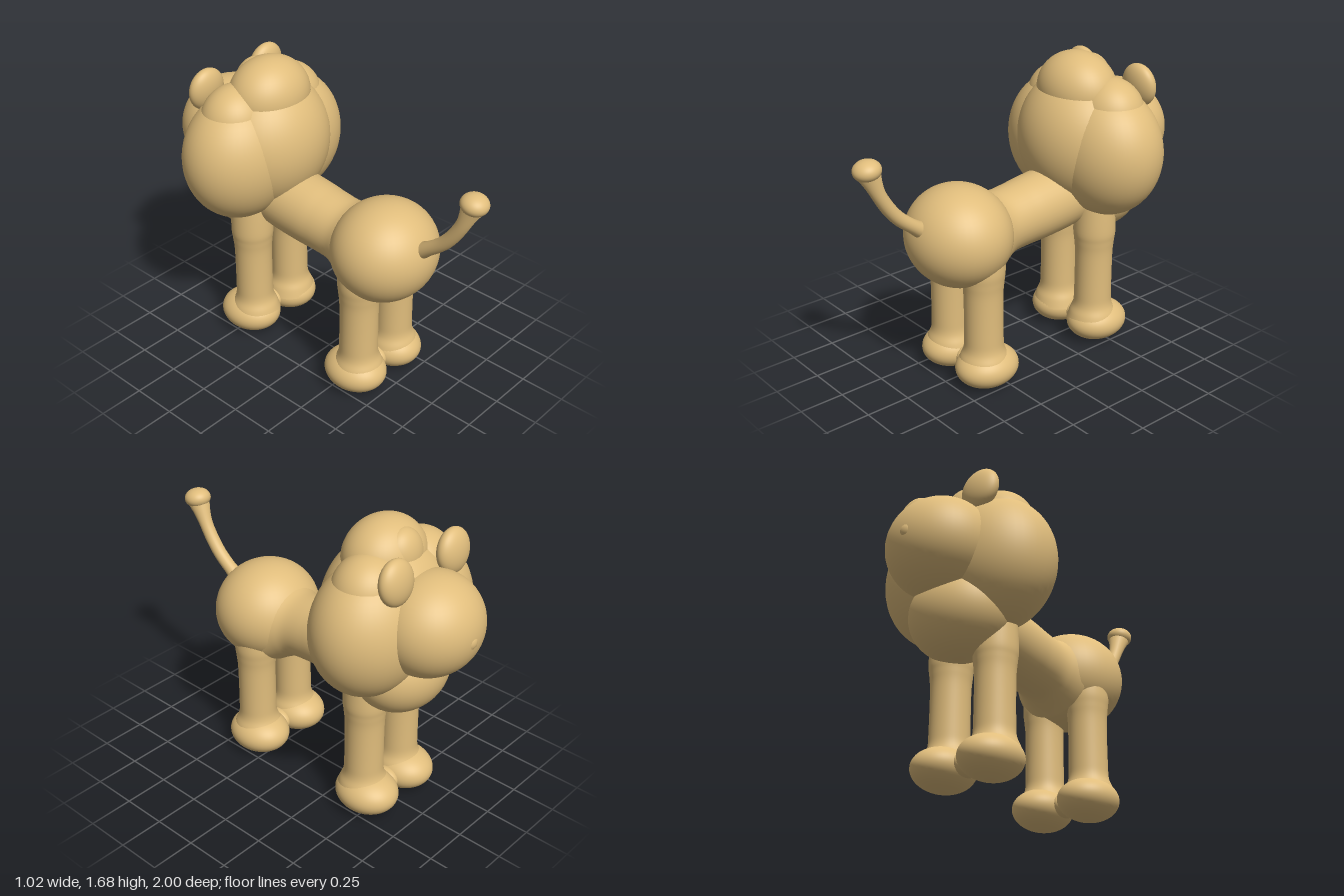
import * as THREE from 'three';

const material = new THREE.MeshStandardMaterial({ color: 0xe0bd7c });

function add(parent, name, geometry) {
  const mesh = new THREE.Mesh(geometry, material);
  mesh.name = name;
  parent.add(mesh);
  return mesh;
}

// Ellipsoid from centre and radii
function blob(parent, name, [x, y, z], [rx, ry, rz]) {
  const mesh = add(parent, name, new THREE.SphereGeometry(1, 48, 32));
  mesh.position.set(x, y, z);
  mesh.scale.set(rx, ry, rz);
  return mesh;
}

// Smooth turned form from [radius, height] pairs
function turned(parent, name, pairs) {
  const curve = new THREE.SplineCurve(pairs.map(([r, h]) => new THREE.Vector2(r, h)));
  return add(parent, name, new THREE.LatheGeometry(curve.getPoints(40), 40));
}

// Tube along a path whose radius follows a function of 0..1
function taperedTube(parent, name, points, radiusAt) {
  const path = new THREE.CatmullRomCurve3(points.map(p => new THREE.Vector3(...p)));
  const rows = 48, sides = 24;
  const geometry = new THREE.TubeGeometry(path, rows, 1, sides);
  const pos = geometry.attributes.position;
  const v = new THREE.Vector3();
  for (let i = 0; i <= rows; i++) {
    const centre = path.getPointAt(i / rows);
    for (let j = 0; j <= sides; j++) {
      const k = i * (sides + 1) + j;
      v.fromBufferAttribute(pos, k).sub(centre).multiplyScalar(radiusAt(i / rows)).add(centre);
      pos.setXYZ(k, v.x, v.y, v.z);
    }
  }
  return add(parent, name, geometry);
}

export function createModel() {
  const model = new THREE.Group();
  model.name = 'lion';

  // Body, the head end points to -z
  blob(model, 'rump', [0, 0.85, 0.39], [0.3, 0.275, 0.28]);
  blob(model, 'chest', [0, 0.885, -0.56], [0.28, 0.24, 0.24]);
  const torso = turned(model, 'torso', [
    [0.235, -0.25], [0.2, -0.18], [0.178, -0.11], [0.178, 0],
    [0.183, 0.1], [0.185, 0.25], [0.18, 0.4],
  ]);
  torso.position.set(0, 0.855, 0);
  torso.rotation.x = -Math.PI / 2 + 0.1;

  // Mane lobes
  const mane = new THREE.Group();
  mane.name = 'mane';
  model.add(mane);
  blob(mane, 'maneCentre', [0, 1.2, -0.45], [0.36, 0.38, 0.32]);
  blob(mane, 'maneTop', [0, 1.47, -0.43], [0.24, 0.21, 0.2]);
  blob(mane, 'forelock', [0, 1.5, -0.53], [0.13, 0.15, 0.1]);

  // Face
  const head = new THREE.Group();
  head.name = 'head';
  model.add(head);
  blob(head, 'face', [0, 1.2, -0.725], [0.29, 0.27, 0.27]);
  blob(head, 'nose', [0, 1.19, -0.957], [0.05, 0.05, 0.043]);

  for (const side of [1, -1]) {
    const label = side > 0 ? 'left' : 'right';
    blob(mane, label + 'ManeSide', [side * 0.17, 1.155, -0.49], [0.34, 0.36, 0.285]);
    blob(mane, label + 'ManeShoulder', [side * 0.19, 1.375, -0.49], [0.2, 0.19, 0.18]);
    const ear = blob(head, label + 'Ear', [side * 0.22, 1.495, -0.68], [0.112, 0.12, 0.06]);
    ear.rotation.set(0.12, 0, -side * 0.15);
  }

  // Legs with flared ankles, and oval paws
  const legs = [['hind', 0.345, 0.33, 0.82], ['front', -0.45, -0.48, 0.88]];
  for (const [name, legZ, pawZ, top] of legs) {
    for (const side of [1, -1]) {
      const leg = turned(model, name + 'Leg', [
        [0.145, 0.13], [0.13, 0.18], [0.109, 0.235], [0.105, 0.32],
        [0.105, 0.54], [0.112, 0.63], [0.118, 0.7], [0.11, top],
      ]);
      leg.position.set(side * 0.145, 0, legZ);
      blob(model, name + 'Paw', [side * 0.15, 0.115, pawZ], [0.157, 0.112, 0.18]);
    }
    // Soft web where the paws touch
    blob(model, name + 'PawWeb', [0, 0.113, pawZ], [0.055, 0.063, 0.085]);
  }

  // Tail with a flared root and a tuft
  taperedTube(model, 'tail',
    [[0, 0.92, 0.58], [0, 0.97, 0.66], [0, 1.06, 0.77], [0, 1.18, 0.855], [0, 1.33, 0.92]],
    t => 0.037 + 0.03 * Math.max(0, 1 - t / 0.25) ** 2 + 0.027 * Math.max(0, (t - 0.7) / 0.3) ** 2);
  const tuft = blob(model, 'tailTuft', [0, 1.345, 0.926], [0.073, 0.054, 0.073]);
  tuft.rotation.x = 0.15;

  return model;
}
